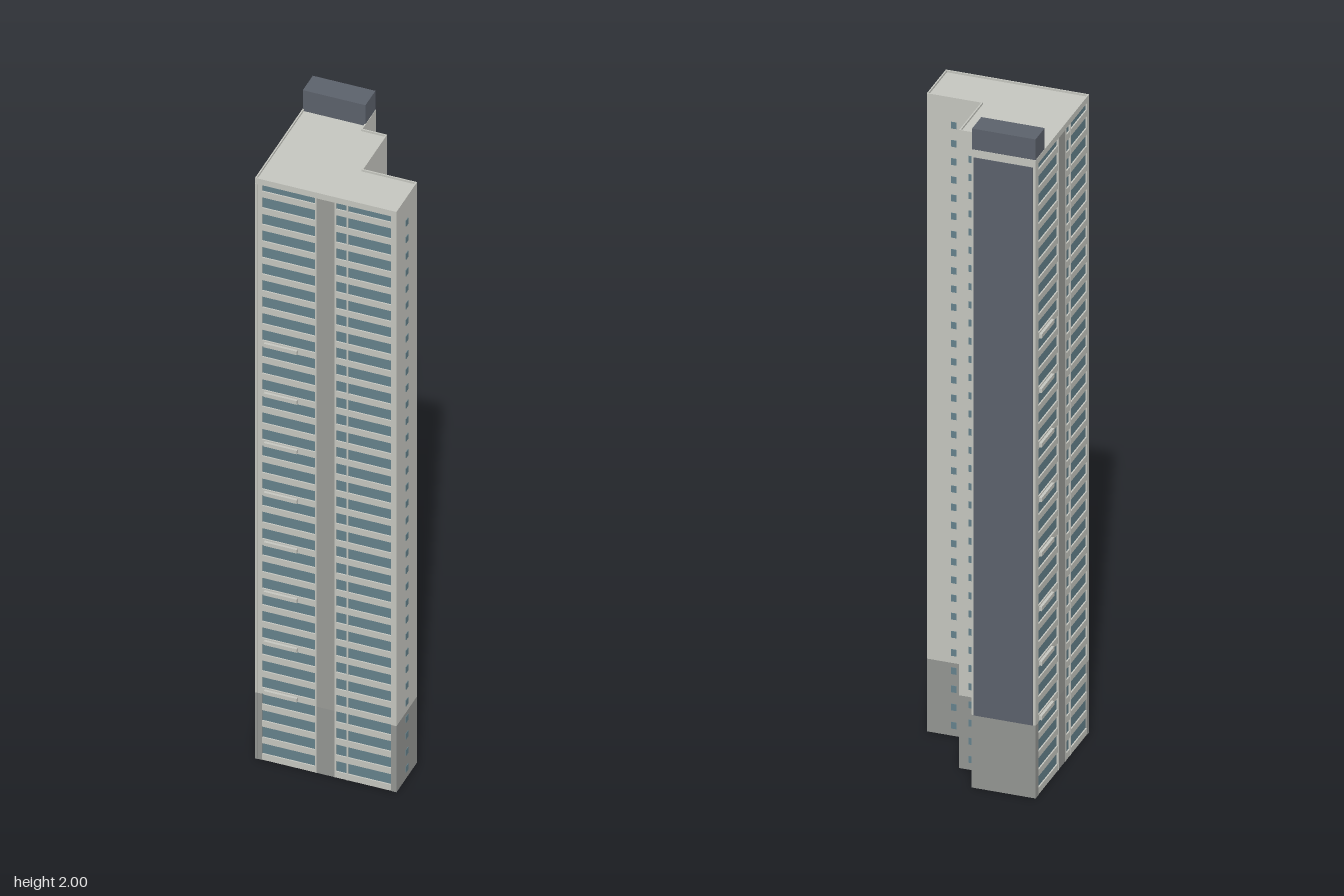
import * as THREE from 'three';
import { mergeGeometries } from 'three/addons/utils/BufferGeometryUtils.js';

const FLOORS = 35, H = 1.937, FLOOR = 0.0552, BASE = 4 * FLOOR, ROOF = 1.918;
const X0 = -0.19, X1 = 0.221, Z0 = -0.245, Z1 = 0.165, LEN = 0.411, RECESS = 0.008;

const mat = (name, color) => {
  const m = new THREE.MeshStandardMaterial({ color });
  m.name = name;
  return m;
};

// box given by its minimum and maximum corners
function box(x0, x1, y0, y1, z0, z1) {
  return new THREE.BoxGeometry(x1 - x0, y1 - y0, z1 - z0)
    .translate((x0 + x1) / 2, (y0 + y1) / 2, (z0 + z1) / 2);
}

function add(parent, name, geometries, material) {
  const mesh = new THREE.Mesh(mergeGeometries([].concat(geometries)), material);
  mesh.name = name;
  parent.add(mesh);
  return mesh;
}

// stepped footprint; f insets the two glazed sides, b insets the others
function outline(f, b) {
  return [
    [X0 + f, Z1 - f], [X1 - b, Z1 - f], [X1 - b, 0.018 + b], [0.065 - b, 0.018 + b],
    [0.065 - b, -0.151 + b], [-0.006 - b, -0.151 + b], [-0.006 - b, Z0 + b], [X0 + f, Z0 + b],
  ].map(([x, z]) => new THREE.Vector2(x, -z));
}

function prism(points, y0, y1, hole) {
  const shape = new THREE.Shape(points);
  if (hole) shape.holes.push(new THREE.Path(hole));
  return new THREE.ExtrudeGeometry(shape, { depth: y1 - y0, bevelEnabled: false })
    .rotateX(-Math.PI / 2).translate(0, y0, 0);
}

// glazed side, running along +x with its outer face at z = 0
function facade(m) {
  const g = new THREE.Group();
  const bays = [[0.02, 0.174], [0.235, 0.395]];

  add(g, 'glazing', bays.map(([a, b]) => box(a, b, 0.004, ROOF, -RECESS, -RECESS + 0.003)), m.glass);

  const piers = [[0, 0.02], [0.395, LEN]];
  add(g, 'cornerPiers', piers.map(([a, b]) => box(a, b, BASE, ROOF, -RECESS, 0)), m.wall);
  add(g, 'pierBases', piers.map(([a, b]) => box(a, b, 0, BASE, -RECESS, 0)), m.base);

  add(g, 'centreStrip', box(0.178, 0.231, BASE, ROOF, -RECESS, -0.001), m.strip);
  add(g, 'centreStripBase', box(0.178, 0.231, 0, BASE, -RECESS, -0.001), m.base);

  // floor bands, one per storey and bay
  const bands = [];
  for (let i = 0; i < FLOORS; i++) {
    for (const [a, b] of bays) bands.push(box(a, b, i * FLOOR, i * FLOOR + 0.02, -RECESS, -0.001));
  }
  add(g, 'floorBands', bands, m.wall);

  // thin uprights beside the bays
  const uprights = [0.174, 0.231, 0.266].map(s => box(s, s + 0.004, 0, ROOF, -RECESS, 0));
  add(g, 'uprights', uprights, m.wall);

  // shallow balconies on every third storey
  const slabs = [];
  for (let i = 4; i <= 25; i += 3) slabs.push(box(0.028, 0.124, i * FLOOR + 0.004, i * FLOOR + 0.016, -0.002, 0.007));
  add(g, 'balconies', slabs, m.wall);
  return g;
}

export function createModel() {
  const m = {
    wall: mat('pale wall', 0xc6c7c0),
    base: mat('base grey', 0x949693),
    strip: mat('strip grey', 0x9b9c98),
    slate: mat('slate', 0x5c626c),
    glass: mat('blue glass', 0x65828c),
  };
  const model = new THREE.Group();
  model.name = 'tower';
  const tower = new THREE.Group();
  tower.name = 'towerBody';
  tower.rotation.y = THREE.MathUtils.degToRad(21.3);
  model.add(tower);

  // core, roof and parapet
  const core = outline(RECESS, 0);
  add(tower, 'baseWalls', prism(core, 0, BASE), m.base);
  add(tower, 'upperWalls', prism(core, BASE, ROOF), m.wall);
  add(tower, 'roof', prism(outline(0, 0), ROOF, H - 0.006), m.wall);
  add(tower, 'parapet', prism(outline(0, 0), H - 0.006, H, outline(0.004, 0.004)), m.wall);

  // glazed front and right sides
  const front = facade(m);
  front.name = 'frontFacade';
  front.position.set(X0, 0, Z1);
  const side = facade(m);
  side.name = 'rightFacade';
  side.position.set(X0, 0, Z0);
  side.rotation.y = -Math.PI / 2;
  tower.add(front, side);

  // slate back panel and rooftop plant room
  add(tower, 'backPanel', box(X0 + 0.008, -0.012, BASE, ROOF - 0.004, Z0 - 0.002, Z0 + 0.002), m.slate);
  add(tower, 'plantRoom', box(X0 + 0.001, -0.007, H - 0.008, 2, Z0 + 0.001, -0.173), m.slate);

  // one column of small windows centred on each plain wall: x, z, faces sideways
  const columns = [
    [X1, 0.0915, true], [0.065, -0.0665, true], [-0.006, -0.198, true],
    [0.143, 0.018, false], [0.0295, -0.151, false],
  ];
  const windows = [];
  for (const [x, z, sideways] of columns) {
    const dx = sideways ? 0.0015 : 0.008, dz = sideways ? 0.008 : 0.0015;
    for (let i = 0; i < FLOORS; i++) {
      const y = i * FLOOR + 0.022;
      if (y + 0.02 < ROOF) windows.push(box(x - dx, x + dx, y, y + 0.02, z - dz, z + dz));
    }
  }
  add(tower, 'smallWindows', windows, m.glass);
  return model;
}
